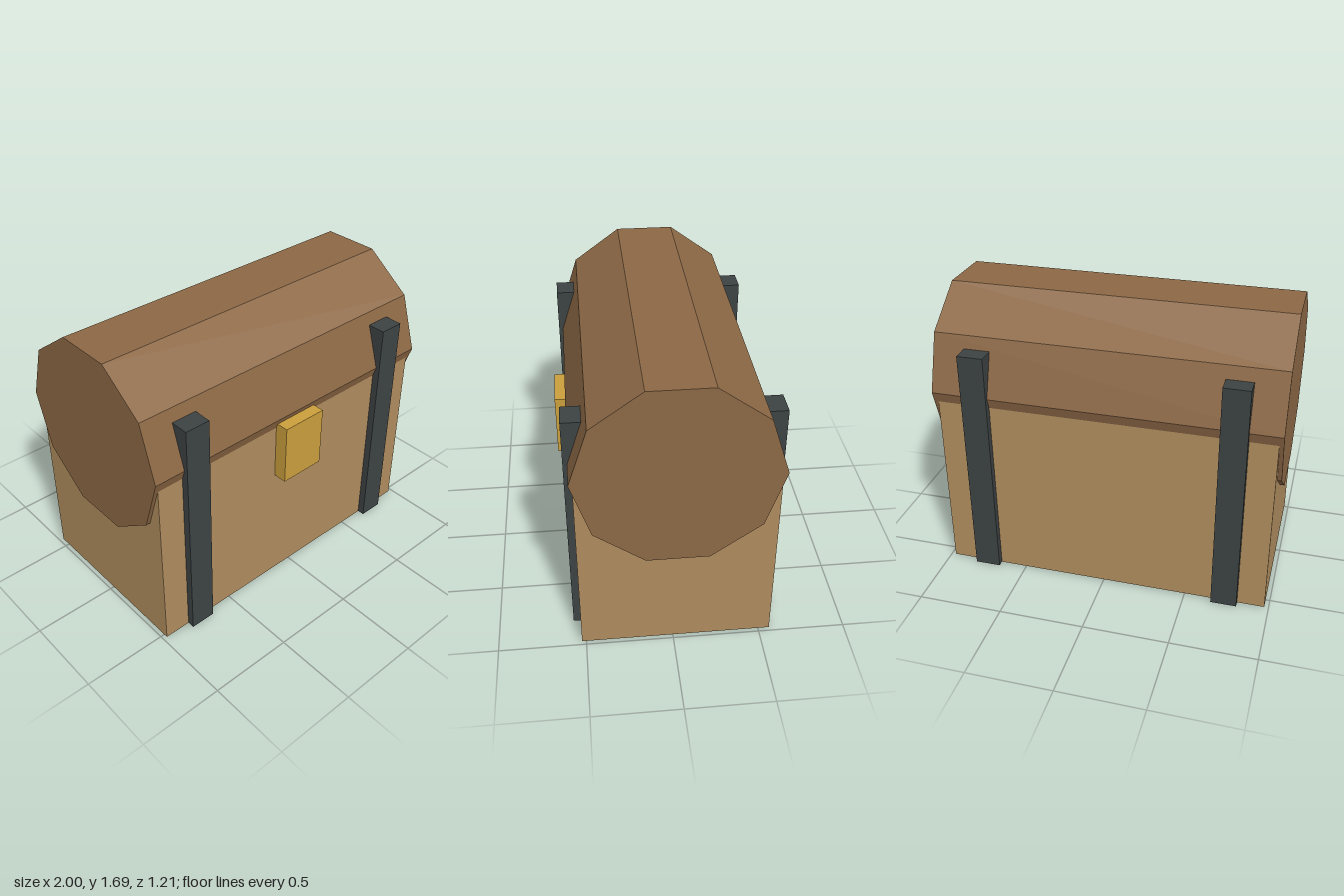
import * as THREE from 'three';

const mat = (name, color) => {
  const m = new THREE.MeshStandardMaterial({ color, flatShading: true });
  m.name = name;
  return m;
};

export function createModel() {
  const chest = new THREE.Group();
  chest.name = 'chest';
  const lightWood = mat('light wood', 0xae8c5e);
  const darkWood = mat('dark wood', 0x8c6845);
  const iron = mat('dark iron', 0x3c4243);
  const brass = mat('brass', 0xca9e3c);
  const midZ = -0.02;

  const add = (name, geometry, material, x, y, z) => {
    const mesh = new THREE.Mesh(geometry, material);
    mesh.name = name;
    mesh.position.set(x, y, z);
    chest.add(mesh);
  };

  // Box body, its top hidden inside the lid
  add('body', new THREE.BoxGeometry(1.95, 1.15, 1.09), lightWood, 0, 0.575, midZ);

  // Ten-sided barrel lid lying along x, with corners pointing front and back
  const barrel = new THREE.CylinderGeometry(0.565, 0.565, 2, 10).rotateZ(Math.PI / 2);
  add('lid', barrel, darkWood, 0, 1.153, midZ);

  // Iron straps run through the full depth, a hair above the floor
  for (const side of [-1, 1]) {
    add(side > 0 ? 'leftStrap' : 'rightStrap',
      new THREE.BoxGeometry(0.152, 1.41, 1.174), iron, side * 0.739, 0.707, midZ + 0.002);
  }

  // Latch plate on the front
  add('latch', new THREE.BoxGeometry(0.284, 0.368, 0.107), brass, -0.002, 0.937, 0.5535);

  return chest;
}
